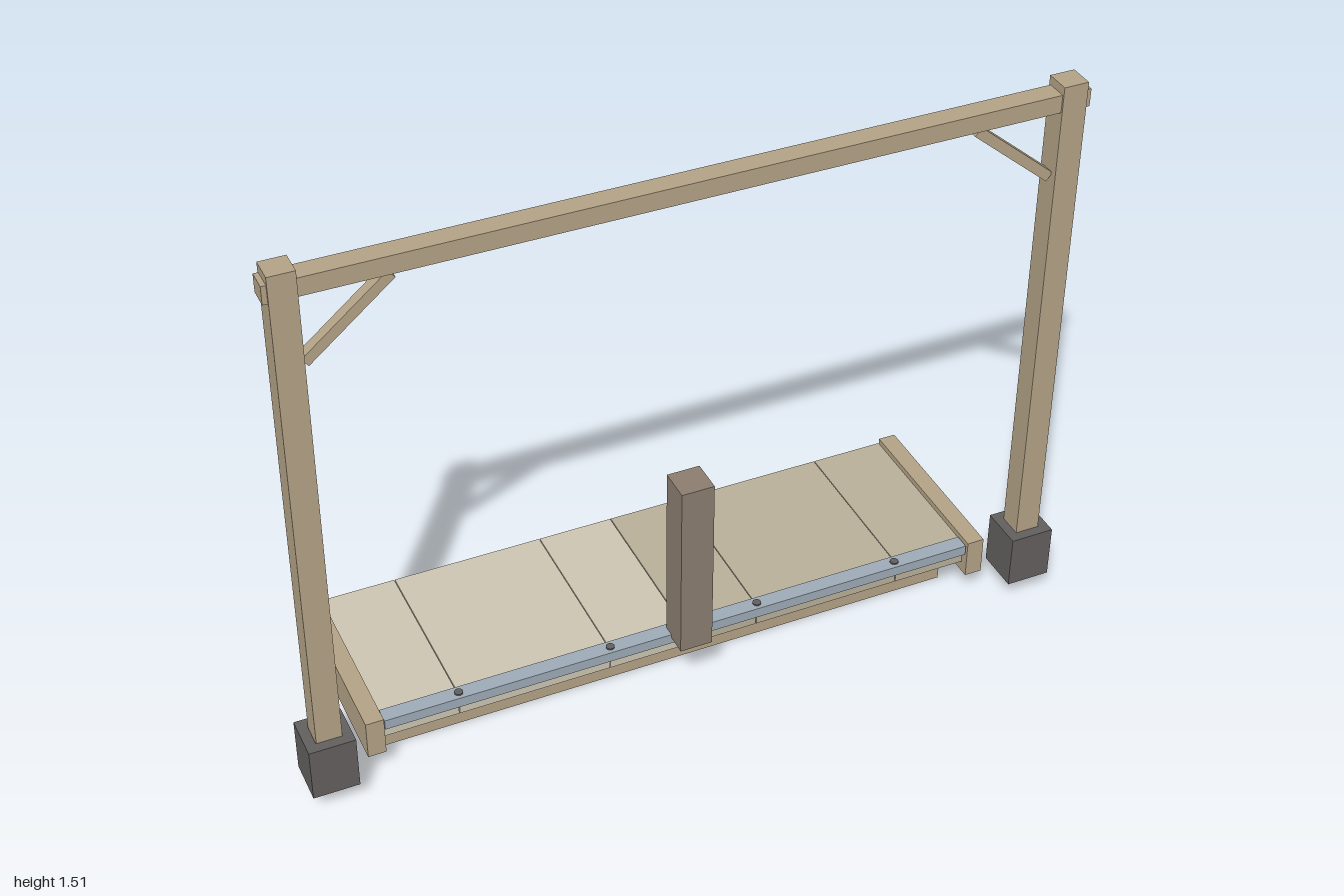
import * as THREE from 'three';

const mat = (color) => new THREE.MeshStandardMaterial({ color });

export function createModel() {
  const model = new THREE.Group();
  const wood = mat(0xb3a286);
  const darkWood = mat(0x8b7d70);
  const concrete = mat(0x625f5e);
  const steel = mat(0x9dabb8);
  const paleDeck = mat(0xcdc5b3);
  const tanDeck = mat(0xb9af99);

  const add = (name, geometry, material, x = 0, y = 0, z = 0) => {
    const mesh = new THREE.Mesh(geometry, material);
    mesh.name = name;
    mesh.position.set(x, y, z);
    model.add(mesh);
    return mesh;
  };
  // Box given by its limits on each axis
  const box = (name, material, [x0, x1], [y0, y1], [z0, z1]) =>
    add(name, new THREE.BoxGeometry(x1 - x0, y1 - y0, z1 - z0), material,
      (x0 + x1) / 2, (y0 + y1) / 2, (z0 + z1) / 2);

  const frameZ = 0.218;

  // Hollow footing block that the gate post stands in
  const square = (Kind, h) => new Kind([
    new THREE.Vector2(-h, -h), new THREE.Vector2(h, -h),
    new THREE.Vector2(h, h), new THREE.Vector2(-h, h)]);
  const footingShape = square(THREE.Shape, 0.058);
  footingShape.holes.push(square(THREE.Path, 0.032));
  const footing = new THREE.ExtrudeGeometry(footingShape, { depth: 0.145, bevelEnabled: false });
  footing.rotateX(-Math.PI / 2);

  for (const s of [-1, 1]) {
    const side = s > 0 ? 'left' : 'right';
    add(side + 'Footing', footing, concrete, s * 0.942, 0.055, frameZ);
    add(side + 'Post', new THREE.BoxGeometry(0.064, 1.43, 0.064), wood, s * 0.941, 0.795, frameZ);

    // Diagonal brace between post and beam
    const a = new THREE.Vector2(0.905, 1.264), b = new THREE.Vector2(0.702, 1.434);
    const brace = add(side + 'Brace', new THREE.BoxGeometry(a.distanceTo(b), 0.026, 0.028), wood,
      s * (a.x + b.x) / 2, (a.y + b.y) / 2, frameZ);
    brace.rotation.z = s * Math.atan2(b.y - a.y, b.x - a.x);

    // Board closing the end of the deck
    add(side + 'EndBoard', new THREE.BoxGeometry(0.046, 0.105, 0.485), wood, s * 0.817, 0.117, -0.035);
  }

  // Crossbeam running through both posts
  box('crossbeam', wood, [-0.985, 0.985], [1.442, 1.488], [0.192, 0.245]);

  // Deck panels, split by narrow seams
  const seams = [-0.794, -0.597, -0.2, 0, 0.2, 0.597, 0.794];
  for (let i = 0; i < seams.length - 1; i++) {
    box('deckPanel' + (i + 1), i < 3 ? paleDeck : tanDeck,
      [seams[i] + 0.001, seams[i + 1] - 0.001], [0.094, 0.155], [-0.278, 0.185]);
  }

  // Joists under the deck
  for (const z of [0.097, -0.152]) {
    box('joist', wood, [-0.77, 0.765], [0.005 - 0.005, 0.094], [z - 0.025, z + 0.025]);
  }

  // Metal rail along the front edge with its bolts
  box('edgeRail', steel, [-0.792, 0.789], [0.135, 0.163], [0.165, 0.206]);
  for (const x of [-0.597, -0.2, 0.2, 0.59]) {
    add('railBolt', new THREE.CylinderGeometry(0.011, 0.011, 0.006, 12), concrete, x, 0.164, 0.186);
  }

  // Upright in the middle of the front edge
  box('centrePost', darkWood, [-0.044, 0.041], [0.153, 0.645], [0.175, 0.261]);

  return model;
}
